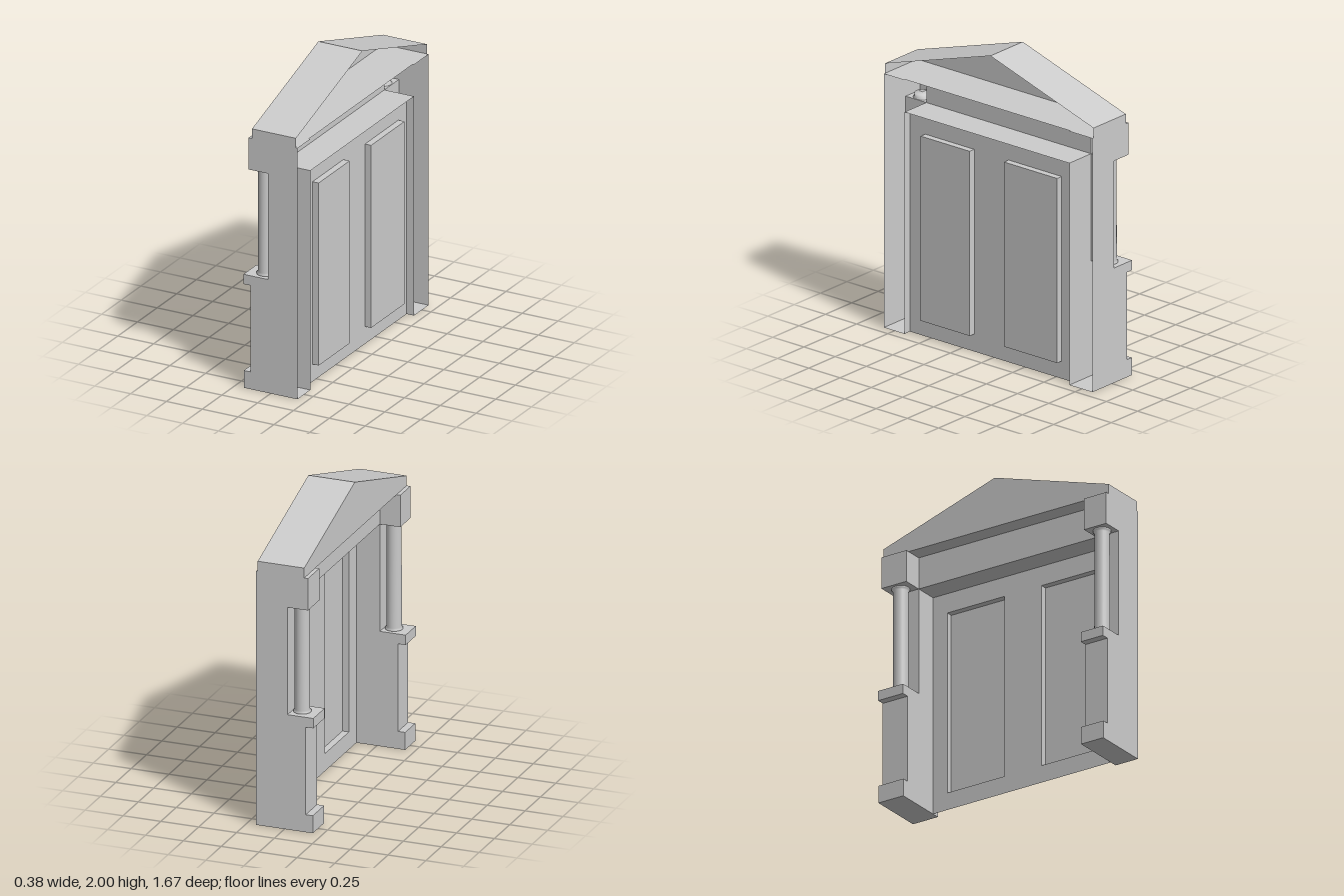
import * as THREE from 'three';

const material = new THREE.MeshStandardMaterial({ color: 0xcccccc, side: THREE.DoubleSide });

const shapeOf = (pts) => new THREE.Shape(pts.map(([a, b]) => new THREE.Vector2(a, b)));

// Flat sheet in the XY plane at depth z
const sheet = (pts, z, holes = []) => {
  const shape = shapeOf(pts);
  shape.holes = holes.map(shapeOf);
  return new THREE.ShapeGeometry(shape).translate(0, 0, z);
};

// Open strip: an XY path swept straight from z0 to z1, with flat faces
const strip = (path, z0, z1) => {
  const pos = [];
  for (let i = 0; i < path.length - 1; i++) {
    const [a, b] = path[i], [c, d] = path[i + 1];
    pos.push(a, b, z0, c, d, z0, c, d, z1, a, b, z0, c, d, z1, a, b, z1);
  }
  const g = new THREE.BufferGeometry();
  g.setAttribute('position', new THREE.Float32BufferAttribute(pos, 3));
  g.computeVertexNormals();
  return g;
};

// Turns geometry drawn in (z, y) so that its depth runs along -x
const toSide = (g) => g.rotateY(-Math.PI / 2);

const rect = (a, b, c, d) => [[a, b], [c, b], [c, d], [a, d]];
const closed = (pts) => [...pts, pts[0]];

function add(parent, name, ...geometries) {
  const part = new THREE.Group();
  part.name = name;
  geometries.forEach((g) => {
    const mesh = new THREE.Mesh(g, material);
    mesh.name = name;
    part.add(mesh);
  });
  parent.add(part);
  return part;
}

const BACK = 0.187, WALL = -0.02, LINTEL = 1.46, TOP = 1.67;
const Z0 = -0.65, Z1 = 0.67, END = 0.835;

export function createModel() {
  const model = new THREE.Group();
  model.name = 'doorway';

  // Piers: hollow, open towards +x, with plinth, ledge, recess and top block
  const front = [
    [BACK, 0], [-0.187, 0], [-0.187, 0.115], [-0.14, 0.115], [-0.14, 0.69], [-0.19, 0.69],
    [-0.19, 0.755], [WALL, 0.755], [WALL, LINTEL], [-0.155, LINTEL], [-0.155, TOP],
  ];
  const outerSide = [...front, [BACK, TOP]];
  const innerSide = [...front, [WALL, TOP], [WALL, LINTEL], [BACK, LINTEL]];
  const columnProfile = [
    [0, 0.75], [0.056, 0.75], [0.056, 0.762], [0.048, 0.772], [0.047, 1.44], [0.056, 1.45],
    [0.056, 1.462], [0.048, 1.465], [0.048, 1.49], [0, 1.49],
  ].map(([r, y]) => new THREE.Vector2(r, y));

  for (const [side, outer, inner] of [['left', END, Z1], ['right', -END, Z0]]) {
    add(model, side + 'Pier',
      strip([...front, [BACK, TOP]], inner, outer),
      sheet(outerSide, outer),
      sheet(innerSide, inner));
    const column = add(model, side + 'Column', new THREE.LatheGeometry(columnProfile, 24));
    column.position.set(-0.08, 0, (outer + inner) / 2);
  }

  // Lintel: a shelf over the door and an upright face above it
  add(model, 'lintel', strip([[BACK, LINTEL], [WALL, LINTEL], [WALL, TOP]], Z0, Z1));

  // Door: a thin sheet with two panels pressed out towards +x
  const doorX = 0.135, panelX = 0.178;
  const panels = [rect(0.155, 0.115, 0.548, 1.33), rect(-0.545, 0.115, -0.12, 1.33)];
  add(model, 'door', toSide(sheet(rect(Z0, 0, Z1, LINTEL), -doorX, panels)));
  panels.forEach((p) => add(model, 'doorPanel',
    toSide(sheet(p, -panelX)),
    toSide(strip(closed(p), -panelX, -doorX))));

  // Pediment: roof slopes, eaves, floor and front gable, open towards +x
  const gable = [[-END, TOP], [END, TOP], [END, 1.735], [-0.01, 2], [-END, 1.735]];
  add(model, 'pediment',
    toSide(strip(closed(gable), -0.177, 0.13)),
    toSide(sheet(gable, 0.13)));

  return model;
}
